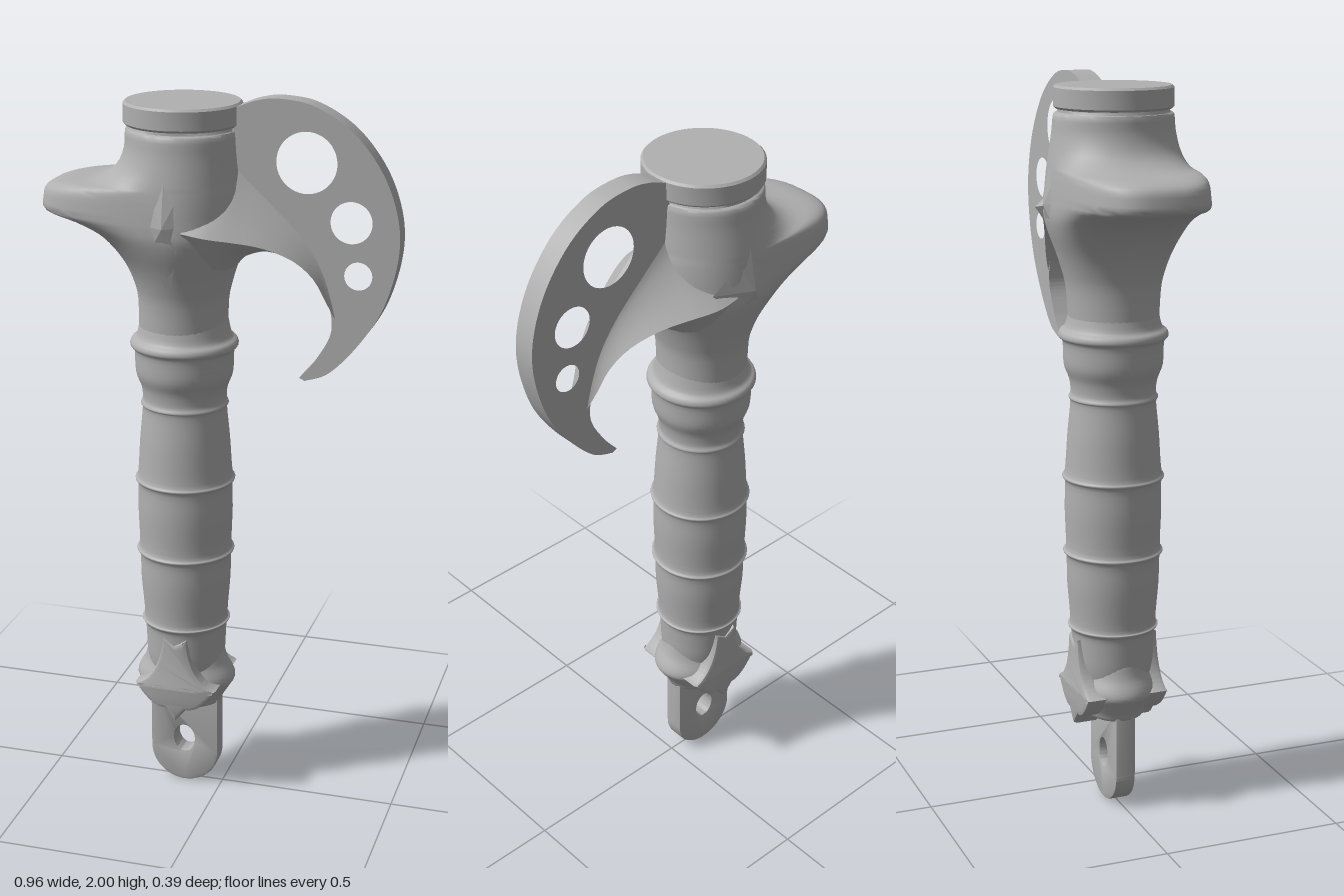
import * as THREE from 'three';
import { toCreasedNormals } from 'three/addons/utils/BufferGeometryUtils.js';

const AXIS = -0.107; // x of the handle's centre line

// Catmull-Rom resampling of rows of numbers
function smoothRows(rows, n) {
  const out = [];
  const at = (i) => rows[Math.min(Math.max(i, 0), rows.length - 1)];
  for (let i = 0; i < rows.length - 1; i++) {
    for (let k = 0; k < n; k++) {
      const t = k / n;
      out.push(rows[i].map((b, c) => {
        const a = at(i - 1)[c], d = at(i + 1)[c], e = at(i + 2)[c];
        return b + 0.5 * t * (d - a + t * (2 * a - 5 * b + 4 * d - e + t * (3 * (b - d) + e - a)));
      }));
    }
  }
  out.push(rows[rows.length - 1]);
  return out;
}

// Capped skin over closed rings of [x, y, z]
function loft(rings, crease) {
  const m = rings[0].length, pos = rings.flat(2), idx = [];
  for (let i = 0; i < rings.length - 1; i++) {
    for (let j = 0; j < m; j++) {
      const a = i * m + j, b = i * m + (j + 1) % m;
      idx.push(a, b, a + m, b, b + m, a + m);
    }
  }
  const last = (rings.length - 1) * m;
  for (let j = 1; j < m - 1; j++) idx.push(0, j + 1, j, last, last + j, last + j + 1);
  const g = new THREE.BufferGeometry();
  g.setAttribute('position', new THREE.Float32BufferAttribute(pos, 3));
  g.setIndex(idx);
  return toCreasedNormals(g, crease);
}

// Raised facet ornament: outline fan around a high centre
function facetStar(outline, centre) {
  const pos = [];
  outline.forEach((p, i) => pos.push(...centre, ...p, ...outline[(i + 1) % outline.length]));
  const g = new THREE.BufferGeometry();
  g.setAttribute('position', new THREE.Float32BufferAttribute(pos, 3));
  g.computeVertexNormals();
  return g;
}

const vec = (pts) => pts.map(([x, y]) => new THREE.Vector2(x, y));

function circleHole(x, y, rx, ry = rx) {
  const h = new THREE.Path();
  h.absellipse(x, y, rx, ry, 0, Math.PI * 2, true);
  return h;
}

function plate(shape, thickness, bevel = 0) {
  const g = new THREE.ExtrudeGeometry(shape, {
    depth: thickness - 2 * bevel, curveSegments: 32, bevelEnabled: bevel > 0,
    bevelSize: bevel, bevelThickness: bevel, bevelOffset: -bevel, bevelSegments: 2,
  });
  g.translate(0, 0, -thickness / 2 + bevel);
  return toCreasedNormals(g, 0.6);
}

export function createModel() {
  const model = new THREE.Group();
  const metal = new THREE.MeshStandardMaterial({ color: 0xb0b0b0 });
  const core = new THREE.Group();
  core.name = 'handleAndHead';
  core.position.x = AXIS;
  model.add(core);
  const add = (name, geo, parent = core) => {
    const m = new THREE.Mesh(geo, metal);
    m.name = name;
    parent.add(m);
    return m;
  };

  // Grip with raised rings
  const grip = smoothRows([
    [0.09, 0.3], [0.108, 0.4], [0.112, 0.46], [0.115, 0.505], [0.124, 0.52], [0.117, 0.535],
    [0.125, 0.64], [0.127, 0.715], [0.136, 0.732], [0.128, 0.75],
    [0.131, 0.85], [0.13, 0.925], [0.138, 0.942], [0.13, 0.96],
    [0.123, 1.06], [0.115, 1.145], [0.12, 1.16], [0.114, 1.175],
    [0.118, 1.21], [0.132, 1.25], [0.135, 1.31], [0.146, 1.325], [0.143, 1.34], [0.128, 1.355], [0.118, 1.4],
  ], 4);
  add('grip', new THREE.LatheGeometry(vec(grip), 40));

  // Head flaring into the hammer lip: y, left reach, right reach, half width, squareness
  const head = smoothRows([
    [1.35, 0.122, 0.118, 0.12, 2], [1.45, 0.122, 0.12, 0.126, 2], [1.5, 0.132, 0.13, 0.137, 2],
    [1.55, 0.152, 0.145, 0.153, 2.1], [1.6, 0.185, 0.165, 0.172, 2.3], [1.64, 0.228, 0.175, 0.183, 2.6],
    [1.67, 0.295, 0.175, 0.184, 3], [1.69, 0.368, 0.172, 0.183, 3], [1.72, 0.373, 0.17, 0.181, 3],
    [1.752, 0.362, 0.167, 0.178, 3], [1.768, 0.315, 0.165, 0.176, 2.9], [1.778, 0.23, 0.163, 0.175, 2.6],
    [1.81, 0.175, 0.16, 0.17, 2.2], [1.86, 0.153, 0.155, 0.162, 2], [1.905, 0.15, 0.152, 0.157, 2],
    [1.912, 0.145, 0.145, 0.146, 2], [1.93, 0.145, 0.145, 0.146, 2],
  ], 3);
  add('headWithLip', loft(head.map(([y, l, r, w, p]) => {
    const ring = [];
    for (let j = 0; j < 56; j++) {
      const a = j / 56 * Math.PI * 2, c = Math.cos(a), s = Math.sin(a);
      const e = c < 0 ? 2 / p : 1;
      ring.push([Math.sign(c) * Math.abs(c) ** e * (c < 0 ? l : r), y, -Math.sign(s) * Math.abs(s) ** e * w]);
    }
    return ring;
  }), 0.9));

  // Flat striking cap
  add('cap', toCreasedNormals(new THREE.LatheGeometry(vec([
    [0, 1.92], [0.15, 1.92], [0.156, 1.926], [0.156, 1.974], [0.15, 1.98], [0, 1.98],
  ]), 48), 0.6));

  // Crescent blade with three holes
  const blade = new THREE.Shape();
  blade.moveTo(-0.02, 1.96);
  blade.lineTo(0.05, 1.975);
  blade.splineThru(vec([[0.1, 1.993], [0.16, 2], [0.25, 1.985], [0.35, 1.925], [0.43, 1.825], [0.473, 1.71],
    [0.476, 1.6], [0.44, 1.47], [0.375, 1.365], [0.3, 1.285], [0.235, 1.258]]));
  blade.lineTo(0.22, 1.265);
  blade.splineThru(vec([[0.268, 1.325], [0.305, 1.405], [0.285, 1.5], [0.22, 1.58], [0.14, 1.603], [0.06, 1.58], [-0.02, 1.52]]));
  blade.closePath();
  blade.holes.push(circleHole(0.232, 1.84, 0.08), circleHole(0.352, 1.692, 0.055), circleHole(0.373, 1.553, 0.037));
  add('blade', plate(blade, 0.062), model);

  // Web under the blade: x, top on blade, rim height, rim half width, arch height
  const web = smoothRows([
    [-0.06, 1.88, 1.67, 0.18, 1.5], [-0.01, 1.87, 1.662, 0.18, 1.5], [0.03, 1.85, 1.655, 0.168, 1.54],
    [0.07, 1.81, 1.648, 0.15, 1.583], [0.14, 1.745, 1.63, 0.115, 1.602], [0.21, 1.675, 1.595, 0.082, 1.583],
    [0.26, 1.61, 1.545, 0.06, 1.535], [0.29, 1.55, 1.485, 0.046, 1.48], [0.315, 1.47, 1.43, 0.03, 1.425],
  ], 3);
  add('bladeWeb', loft(web.map(([x, top, rim, w, bot]) => {
    const side = [[top, 0.026]];
    // hollow flank sweeping out to the rim
    for (let k = 1; k <= 6; k++) {
      const t = k / 6;
      side.push([top + (rim - top) * t, 0.026 + (w - 0.026) * t ** 1.6]);
    }
    // arched underside
    for (let k = 1; k <= 4; k++) {
      const t = k / 5;
      side.push([bot + (rim - bot) * (1 - t) ** 2, w * (1 - t)]);
    }
    return [[x, top, 0], ...side.map(([y, z]) => [x, y, z]), [x, bot, 0],
      ...side.reverse().map(([y, z]) => [x, y, -z])];
  }), 0.7), model);

  // Pommel collar, narrower front to back
  add('pommelCollar', new THREE.LatheGeometry(vec(smoothRows([
    [0.001, 0.262], [0.09, 0.262], [0.108, 0.285], [0.13, 0.32], [0.141, 0.34], [0.136, 0.362], [0.118, 0.395], [0.108, 0.44],
  ], 3)), 40)).scale.z = 0.8;

  // Tang with hanging hole
  const tang = new THREE.Shape();
  tang.moveTo(0.1, 0.3);
  tang.lineTo(-0.1, 0.3);
  tang.lineTo(-0.1, 0.105);
  tang.absarc(0, 0.105, 0.1, Math.PI, Math.PI * 2, false);
  tang.closePath();
  tang.holes.push(circleHole(0, 0.14, 0.03, 0.04));
  add('tang', plate(tang, 0.058, 0.006));

  // Pointed ornaments, front and back
  const leaf = new THREE.Shape();
  leaf.moveTo(0, 0.238);
  leaf.lineTo(0.03, 0.275);
  leaf.quadraticCurveTo(0.07, 0.27, 0.118, 0.345);
  leaf.quadraticCurveTo(0.045, 0.37, 0.035, 0.495);
  leaf.lineTo(0, 0.475);
  leaf.lineTo(-0.035, 0.495);
  leaf.quadraticCurveTo(-0.045, 0.37, -0.118, 0.345);
  leaf.quadraticCurveTo(-0.07, 0.27, -0.03, 0.275);
  leaf.closePath();
  const leafGeo = plate(leaf, 0.08, 0.012);
  leafGeo.translate(0, 0, 0.079);
  const starGeo = facetStar([
    [0, 1.48, 0.13], [0.035, 1.62, 0.175], [0.11, 1.69, 0.142], [0.035, 1.755, 0.172],
    [0, 1.87, 0.158], [-0.035, 1.755, 0.172], [-0.11, 1.69, 0.155], [-0.035, 1.62, 0.175],
  ], [0, 1.68, 0.195]);
  for (const [side, turn] of [['front', 0], ['back', Math.PI]]) {
    const ornaments = new THREE.Group();
    ornaments.name = side + 'Ornaments';
    ornaments.rotation.y = turn;
    add(side + 'PommelLeaf', leafGeo, ornaments);
    add(side + 'HeadStar', starGeo, ornaments);
    core.add(ornaments);
  }
  return model;
}
